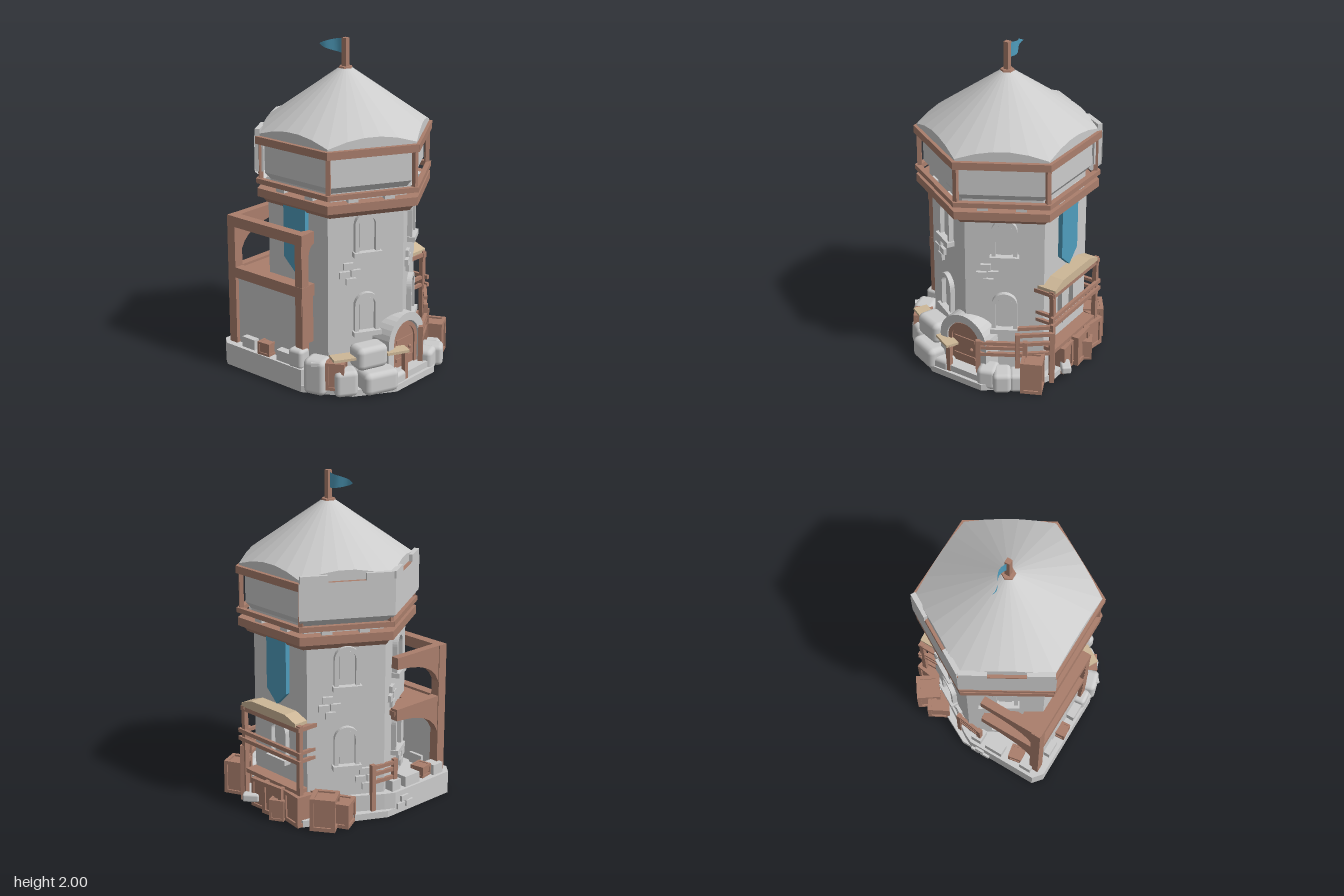
import * as THREE from 'three';
import { RoundedBoxGeometry } from 'three/addons/geometries/RoundedBoxGeometry.js';

const mat = (color, extra = {}) => new THREE.MeshStandardMaterial({ color, ...extra });
const C30 = Math.cos(Math.PI / 6), D = Math.PI / 180;
const SHAFT_Z = -0.02; // the shaft sits slightly behind the gallery centre

export function createModel() {
  const root = new THREE.Group();
  const stone = mat(0xcccccc, { flatShading: true });
  const smooth = mat(0xcccccc);
  const thin = mat(0xcccccc, { flatShading: true, side: THREE.DoubleSide });
  const wood = mat(0xaa7e6c, { flatShading: true });
  const straw = mat(0xcdb797, { flatShading: true });
  const cloth = mat(0x4f9dbd, { side: THREE.DoubleSide });

  const add = (name, geo, m, x = 0, y = 0, z = 0, ry = 0, parent = root) => {
    const mesh = new THREE.Mesh(geo, m);
    mesh.name = name;
    mesh.position.set(x, y, z);
    mesh.rotation.y = ry;
    parent.add(mesh);
    return mesh;
  };
  const box = (name, m, w, h, d, x, y, z, ry = 0, parent = root) =>
    add(name, new THREE.BoxGeometry(w, h, d), m, x, y, z, ry, parent);
  const rock = (x, y, z, w, h, d, ry = 0) =>
    add('boulder', new RoundedBoxGeometry(w, h, d, 2, Math.min(w, h, d) * 0.25), smooth, x, y, z, ry * D);
  // Hexagonal drum given by its flat-side distances
  const hex = (name, m, a0, a1, y0, y1, z = 0) =>
    add(name, new THREE.CylinderGeometry(a1 / C30, a0 / C30, y1 - y0, 6), m, 0, (y0 + y1) / 2, z);
  // Group whose local z points out of one tower side
  const side = (deg, z = 0) => {
    const g = new THREE.Group();
    g.name = 'towerSide';
    g.position.z = z;
    g.rotation.y = deg * D;
    root.add(g);
    return g;
  };
  const extrude = (shape, depth) =>
    new THREE.ExtrudeGeometry(shape, { depth, bevelEnabled: false, curveSegments: 8 });
  // Round-topped outline standing on y = 0
  const arch = (r, h, Type = THREE.Shape) => {
    const s = new Type();
    s.moveTo(-r, 0);
    s.lineTo(r, 0);
    s.lineTo(r, h - r);
    s.absarc(0, h - r, r, 0, Math.PI, false);
    s.lineTo(-r, 0);
    return s;
  };
  const archFrame = (r, h, t, depth) => {
    const s = arch(r, h);
    s.holes.push(arch(r - t, h - t, THREE.Path));
    return extrude(s, depth);
  };
  const polygon = (pts) => new THREE.Shape(pts.map(([x, y]) => new THREE.Vector2(x, y)));
  const flatPlan = (pts, h) => extrude(polygon(pts.map(([x, z]) => [x, -z])), h).rotateX(-Math.PI / 2);

  // Ground slab, rear plinth and steps
  add('groundSlab', flatPlan([[-0.55, 0.13], [-0.4, 0.4], [-0.18, 0.55], [0.18, 0.55], [0.42, 0.35],
    [0.48, 0.2], [0.48, -0.3], [0.02, -0.54], [-0.5, -0.54], [-0.55, -0.48]], 0.04), stone);
  add('plinth', flatPlan([[-0.55, 0.13], [-0.3, 0.25], [0.42, 0.23], [0.42, -0.25],
    [0.02, -0.51], [-0.04, -0.54], [-0.5, -0.54], [-0.55, -0.48]], 0.14), stone);
  box('step', stone, 0.28, 0.06, 0.12, 0, 0.05, 0.47);

  // Tower shaft and gallery
  hex('towerWall', stone, 0.4, 0.4, 0.01, 1.1, SHAFT_Z);
  hex('galleryCorbel', wood, 0.42, 0.45, 1.06, 1.1);
  hex('galleryFloor', wood, 0.47, 0.47, 1.1, 1.15);
  hex('galleryCore', stone, 0.4, 0.4, 1.15, 1.21);
  hex('galleryBevel', stone, 0.4, 0.43, 1.2, 1.24);
  hex('galleryWall', stone, 0.43, 0.43, 1.24, 1.47);
  for (let i = 0; i < 6; i++) {
    const g = side(30 + i * 60);
    box('galleryRail', wood, 0.55, 0.03, 0.03, 0, 1.195, 0.46, 0, g);
    box('eaveBeam', wood, 0.55, 0.045, 0.05, 0, 1.44, 0.452, 0, g);
    for (const u of [-0.11, 0.11]) box('railBlock', stone, 0.06, 0.03, 0.04, u, 1.165, 0.43, 0, g);
    const a = i * 60 * D, r = 0.52;
    box('galleryPost', wood, 0.025, 0.24, 0.025, Math.sin(a) * r, 1.32, Math.cos(a) * r, a);
  }

  // Solid stone shield around the rear of the gallery
  const shell = (a0, a1, y0, y1) => add('rearShield', new THREE.CylinderGeometry(a1 / C30, a0 / C30,
    y1 - y0, 2, 1, true, 120 * D, 120 * D), thin, 0, (y0 + y1) / 2);
  shell(0.43, 0.482, 1.2, 1.25);
  shell(0.482, 0.482, 1.25, 1.465);
  for (const deg of [150, 210]) {
    const g = side(deg);
    for (const s of [-1, 1]) {
      box('shieldMerlon', stone, 0.16, 0.06, 0.03, s * 0.19, 1.475, 0.466, 0, g);
      box('shieldEnd', stone, 0.01, 0.22, 0.05, s * 0.265, 1.36, 0.456, 0, g);
    }
  }

  // Conical roof trimmed to a hexagonal eave
  const profile = [[0.001, 1.465], [0.53, 1.465], [0.53, 1.475], [0.04, 1.825], [0.001, 1.825]];
  const roofGeo = new THREE.LatheGeometry(profile.map(([r, y]) => new THREE.Vector2(r, y)), 30);
  const p = roofGeo.attributes.position;
  for (let i = 0; i < p.count; i++) {
    const x = p.getX(i), y = p.getY(i), z = p.getZ(i);
    if (Math.hypot(x, z) < 0.4) continue;
    const a = ((Math.atan2(x, z) / D + 720.0001) % 60) - 30;
    const f = C30 / Math.cos(a * D);
    p.setXYZ(i, x * f, y > 1.47 ? 1.825 - (0.53 * f - 0.04) * 0.714 : y, z * f);
  }
  add('roof', roofGeo, thin);
  add('finialBase', new THREE.CylinderGeometry(0.04, 0.045, 0.02, 6), wood, 0, 1.825);
  box('flagPole', wood, 0.032, 0.18, 0.032, 0, 1.91, 0);

  // Waving pennant
  const flag = new THREE.PlaneGeometry(0.18, 0.09, 10, 2);
  const fp = flag.attributes.position;
  for (let i = 0; i < fp.count; i++) {
    const t = fp.getX(i) / 0.18 + 0.5;
    fp.setXYZ(i, 0.02 * Math.sin(t * 5.5), 1.945 + fp.getY(i) * (1 - t * t), -0.01 - t * 0.18);
  }
  flag.computeVertexNormals();
  add('pennant', flag, cloth);

  // Windows
  const windowAt = (g, y) => {
    add('windowFrame', archFrame(0.075, 0.25, 0.024, 0.035), stone, 0, y, 0.395, 0, g);
    add('windowPane', extrude(arch(0.04, 0.21), 0.012), stone, 0, y + 0.01, 0.395, 0, g);
    box('windowSill', stone, 0.17, 0.03, 0.055, 0, y, 0.42, 0, g);
  };
  // Clusters of raised bricks
  const bricks = (g, u, y) => {
    for (const [du, dy, w] of [[-0.01, 0.05, 0.06], [-0.035, 0, 0.06], [0.035, 0.005, 0.06], [0.005, -0.045, 0.06]])
      box('raisedBrick', stone, w, 0.04, 0.03, u + du, y + dy, 0.405, 0, g);
  };
  for (const deg of [30, 150, 210, 330]) {
    const g = side(deg, SHAFT_Z);
    windowAt(g, 0.33);
    windowAt(g, 0.82);
    bricks(g, -0.1, 0.7);
    if (deg > 100) bricks(g, 0.12, 0.24);
  }
  // Hanging banners on the two flanks
  for (const deg of [90, 270]) {
    const g = side(deg, SHAFT_Z);
    windowAt(g, 0.33);
    const s = polygon([[-0.085, 1.08], [-0.085, 0.76], [0, 0.68], [0.085, 0.76], [0.085, 1.08]]);
    add('banner', extrude(s, 0.028), cloth, 0, 0, 0.402, 0, g);
  }

  // Arched doorway
  add('doorArch', archFrame(0.165, 0.42, 0.05, 0.2), stone, 0, 0, 0.275);
  add('doorFrame', archFrame(0.115, 0.36, 0.025, 0.19), wood, 0, 0, 0.275);
  add('door', extrude(arch(0.095, 0.34), 0.18), wood, 0, 0, 0.275);
  for (const y of [0.13, 0.25]) box('doorStrap', wood, 0.15, 0.02, 0.02, 0, y, 0.452);
  add('doorKnob', new THREE.SphereGeometry(0.012, 8, 6), wood, 0.05, 0.19, 0.46);

  // Two-tier timber frame at the rear right corner
  const brace = (w, h) => {
    const s = new THREE.Shape();
    s.moveTo(0, 0);
    s.lineTo(w, 0);
    s.lineTo(w, -0.07);
    s.bezierCurveTo(w * 0.6, -0.08, 0.06, -h * 0.4, 0.05, -h);
    s.lineTo(0, -h);
    return extrude(s, 0.05);
  };
  box('cornerPost', wood, 0.06, 0.83, 0.06, -0.48, 0.53, -0.46);
  box('sidePost', wood, 0.055, 0.83, 0.055, -0.48, 0.53, 0.08);
  for (const y of [0.95, 0.63]) {
    add('rearBrace', brace(0.41, 0.28), wood, -0.51, y, -0.485);
    add('sideBrace', brace(0.12, 0.26), wood, -0.51, y, 0.055);
    box('sideBeam', wood, 0.06, 0.065, 0.6, -0.48, y - 0.033, -0.19);
  }
  box('frameFloor', wood, 0.2, 0.03, 0.54, -0.4, 0.6, -0.19);
  box('rearFloor', wood, 0.25, 0.03, 0.14, -0.22, 0.6, -0.4);
  box('lowerEndWall', wood, 0.11, 0.35, 0.03, -0.44, 0.44, 0.08);
  box('lowerInfill', stone, 0.03, 0.45, 0.5, -0.47, 0.36, -0.19);

  // Canopy and railing on the left flank
  const canopy = polygon([[-0.24, 0], [0.24, 0], [0.24, 0.022], [0.15, 0.055], [-0.15, 0.055], [-0.24, 0.022]]);
  add('canopy', extrude(canopy, 0.13), straw, 0.36, 0.61, -0.01, Math.PI / 2);
  for (const z of [0.225, -0.265]) {
    box('canopyPost', wood, 0.028, 0.62, 0.028, 0.47, 0.312, z);
    for (const y of [0.4, 0.45]) box('endRail', wood, 0.16, 0.02, 0.02, 0.41, y, z);
    box('canopyBearer', wood, 0.14, 0.025, 0.03, 0.42, 0.6, z);
  }
  for (const y of [0.4, 0.45]) box('balconyRail', wood, 0.02, 0.024, 0.55, 0.485, y, -0.015);
  box('canopyBeam', wood, 0.03, 0.03, 0.52, 0.47, 0.595, -0.015);
  box('balconyFloor', wood, 0.1, 0.025, 0.46, 0.43, 0.2, -0.02);

  // Crates with raised edges: x, y, z, size, height, turn
  const crate = (x, y, z, s, h, ry) => {
    const g = new THREE.Group();
    g.name = 'crate';
    g.position.set(x, y + h / 2 + 0.002, z);
    g.rotation.y = ry * D;
    root.add(g);
    const t = s * 0.16, e = (s - t) / 2, k = (h - t) / 2;
    box('crateCore', wood, s * 0.86, h * 0.9, s * 0.86, 0, 0, 0, 0, g);
    for (const a of [-1, 1]) for (const b of [-1, 1]) {
      box('crateEdge', wood, s, t, t, 0, a * k, b * e, 0, g);
      box('crateEdge', wood, t, t, s, a * e, b * k, 0, 0, g);
      box('crateEdge', wood, t, h, t, a * e, 0, b * e, 0, g);
    }
  };
  for (const c of [[0.44, 0, -0.06, 0.16, 0.2, 5], [0.43, 0, -0.23, 0.15, 0.19, -8], [0.38, 0, -0.38, 0.15, 0.2, 35],
    [0.28, 0, -0.41, 0.14, 0.15, 28], [0.42, 0, 0.36, 0.13, 0.21, 25], [0.5, 0, -0.11, 0.09, 0.13, 30],
    [0.44, 0, 0.08, 0.12, 0.18, 4], [-0.5, 0.14, -0.18, 0.09, 0.08, 4], [-0.34, 0.14, -0.46, 0.09, 0.07, 10],
    [-0.43, 0.04, 0.3, 0.11, 0.17, 30]]) crate(...c);

  // Boulders and loose blocks: x, y, z, width, height, depth, turn
  for (const r of [[-0.25, 0.08, 0.46, 0.22, 0.14, 0.15, -22], [-0.26, 0.22, 0.4, 0.2, 0.14, 0.14, -20],
    [-0.48, 0.11, 0.2, 0.13, 0.22, 0.14, 15], [-0.4, 0.08, 0.34, 0.14, 0.16, 0.12, -35],
    [-0.5, 0.19, 0.07, 0.09, 0.12, 0.1, 5], [-0.13, 0.05, 0.49, 0.12, 0.1, 0.1, 0],
    [0.18, 0.07, 0.47, 0.12, 0.14, 0.13, 20], [0.27, 0.07, 0.46, 0.11, 0.13, 0.14, 35],
    [0.34, 0.06, 0.4, 0.1, 0.12, 0.12, 35], [0.51, 0.06, 0.13, 0.1, 0.05, 0.06, -50]]) rock(...r);
  for (const [x, z, w, d] of [[-0.48, -0.32, 0.09, 0.1], [-0.2, -0.49, 0.12, 0.07], [-0.07, -0.48, 0.07, 0.08],
    [-0.5, -0.02, 0.07, 0.12], [-0.43, -0.48, 0.08, 0.08]]) box('plinthBlock', stone, w, 0.07, d, x, 0.17, z);
  for (const [x, y] of [[-0.11, 0.09], [-0.15, 0.05], [-0.08, 0.05]])
    box('plinthBrick', stone, 0.06, 0.035, 0.02, x, y, -0.545);

  // Fences, plank tables and a loose slab
  const fence = (x0, z0, x1, z1, heights, posts, top) => {
    const len = Math.hypot(x1 - x0, z1 - z0), ry = -Math.atan2(z1 - z0, x1 - x0);
    for (const y of heights) box('fenceRail', wood, len, 0.022, 0.02, (x0 + x1) / 2, y, (z0 + z1) / 2, ry);
    for (let i = 0; i < posts; i++) {
      const t = i / (posts - 1);
      box('fencePost', wood, 0.028, top, 0.028, x0 + (x1 - x0) * t, top / 2 + 0.002, z0 + (z1 - z0) * t, ry);
    }
  };
  fence(0.12, 0.49, 0.36, 0.35, [0.21, 0.255, 0.285], 2, 0.3);
  fence(0.32, 0.37, 0.48, 0.24, [0.21, 0.28, 0.34, 0.39], 2, 0.35);
  fence(-0.08, -0.49, 0.08, -0.47, [0.22, 0.27, 0.31], 2, 0.33);
  fence(-0.07, 0.52, -0.07, 0.43, [0.2], 2, 0.22);
  box('plankTable', straw, 0.14, 0.016, 0.08, -0.11, 0.22, 0.485, -27 * D);
  box('plankTable', straw, 0.16, 0.016, 0.09, -0.39, 0.225, 0.33, -30 * D);
  box('looseSlab', stone, 0.11, 0.02, 0.05, -0.5, 0.2, 0.2, 40 * D);
  return root;
}
